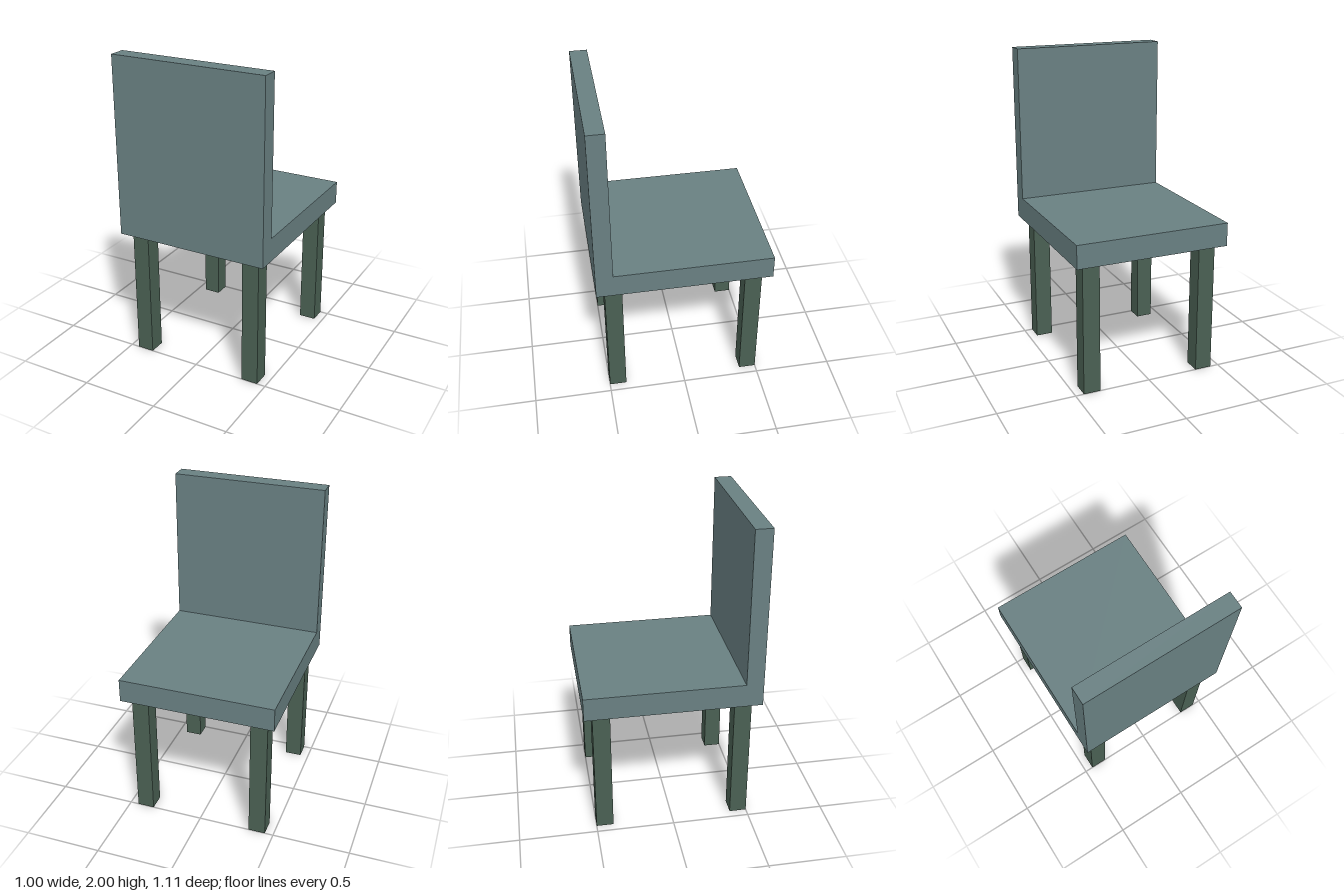
import * as THREE from 'three';

export function createModel() {
  const chair = new THREE.Group();
  chair.name = 'chair';
  const seatMaterial = new THREE.MeshStandardMaterial({ color: 0x698082 });
  const legMaterial = new THREE.MeshStandardMaterial({ color: 0x4a6053 });

  const width = 1, halfDepth = 0.555, thickness = 0.11;
  const seatBottom = 0.85, seatTop = 1, backTop = 2;

  // Seat and backrest: one L-shaped side profile (z, y) extruded across the width
  const profile = new THREE.Shape([
    [-halfDepth, seatBottom], [halfDepth, seatBottom], [halfDepth, backTop],
    [halfDepth - thickness, backTop], [halfDepth - thickness, seatTop], [-halfDepth, seatTop],
  ].map(([z, y]) => new THREE.Vector2(z, y)));
  const seatGeometry = new THREE.ExtrudeGeometry(profile, { depth: width, bevelEnabled: false });
  seatGeometry.rotateY(-Math.PI / 2).translate(width / 2, 0, 0);
  const seat = new THREE.Mesh(seatGeometry, seatMaterial);
  seat.name = 'seatAndBackrest';
  chair.add(seat);

  // Four square legs
  const legGeometry = new THREE.BoxGeometry(thickness, seatBottom, thickness);
  for (const [xName, x] of [['Left', 0.39], ['Right', -0.39]]) {
    for (const [zName, z] of [['front', 0.445], ['back', -0.445]]) {
      const leg = new THREE.Mesh(legGeometry, legMaterial);
      leg.name = `${zName}${xName}Leg`;
      leg.position.set(x, seatBottom / 2, z);
      chair.add(leg);
    }
  }
  return chair;
}
